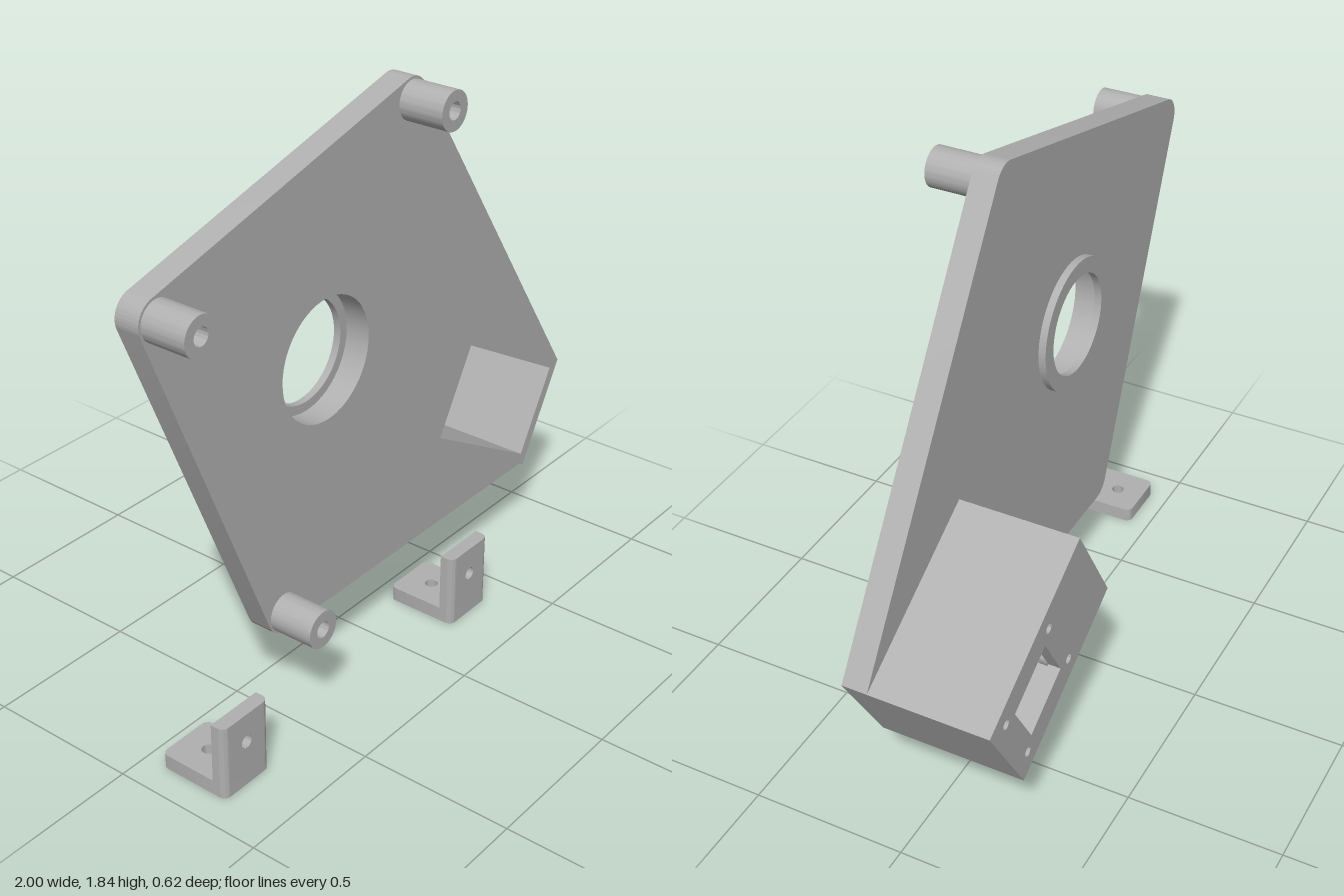
import * as THREE from 'three';
import { toCreasedNormals } from 'three/addons/utils/BufferGeometryUtils.js';

const grey = new THREE.MeshStandardMaterial({ color: 0xb0b0b0 });
grey.name = 'plain grey';

const V = (x, y) => new THREE.Vector2(x, y);

function circle(x, y, r) {
  return new THREE.Path().absarc(x, y, r, 0, Math.PI * 2, false);
}

function disc(x, y, r, hole) {
  const s = new THREE.Shape().absarc(x, y, r, 0, Math.PI * 2, false);
  if (hole) s.holes.push(circle(x, y, hole));
  return s;
}

// corners of a rectangle centred on (x, y)
function rect(x, y, w, h) {
  return [V(x - w / 2, y - h / 2), V(x + w / 2, y - h / 2), V(x + w / 2, y + h / 2), V(x - w / 2, y + h / 2)];
}

// extrude a shape along z from z0 to z1; upright = true extrudes along y instead
function slab(name, shape, z0, z1, upright = false) {
  let g = new THREE.ExtrudeGeometry(shape, { depth: z1 - z0, bevelEnabled: false, curveSegments: 28 });
  g.translate(0, 0, z0);
  if (upright) g.rotateX(-Math.PI / 2);
  g = toCreasedNormals(g, 0.6);
  const m = new THREE.Mesh(g, grey);
  m.name = name;
  return m;
}

// depths
const FRONT = 0.162, BACK = 0.08, BOX_BACK = -0.308, POST = 0.31;
// motor box, tilted in the plate's plane
const BOX = { x: 0.631, y: 0.585, w: 0.623, h: 0.379, iw: 0.553, ih: 0.31, tilt: -Math.PI / 6 };
const toPlate = p => p.clone().rotateAround(V(0, 0), BOX.tilt).add(V(BOX.x, BOX.y));
const RING = { x: -0.257, y: 1.1 };
const POSTS = [[0.131, 1.772], [-0.932, 1.487], [-0.46, 0.345]];

function makePlate() {
  const rad = Math.PI / 180, r = 0.069;
  const outer = rect(0, 0, BOX.w, BOX.h).map(toPlate);
  const s = new THREE.Shape();
  s.moveTo(outer[1].x, outer[1].y);
  s.lineTo(outer[2].x, outer[2].y);
  const angles = [33.5, 105, 202.5, 270];
  POSTS.forEach(([x, y], i) => s.absarc(x, y, r, angles[i] * rad, angles[i + 1] * rad, false));
  s.lineTo(0.79, 0.277);
  s.closePath();
  s.holes.push(circle(RING.x, RING.y, 0.195));
  s.holes.push(new THREE.Path(rect(0, 0, BOX.iw, BOX.ih).map(toPlate)));
  return slab('plate', s, BACK, FRONT);
}

function makeBox() {
  const g = new THREE.Group();
  g.name = 'motorBox';
  const floorTop = BOX_BACK + 0.04;
  const walls = new THREE.Shape(rect(0, 0, BOX.w, BOX.h));
  walls.holes.push(new THREE.Path(rect(0, 0, BOX.iw, BOX.ih)));
  g.add(slab('boxWalls', walls, floorTop, BACK));

  // floor with a square window and four screw holes
  const cx = 0.095;
  const floor = new THREE.Shape(rect(0, 0, BOX.w, BOX.h));
  floor.holes.push(new THREE.Path(rect(cx, 0, 0.211, 0.19)));
  for (const p of rect(cx, 0, 0.296, 0.247)) {
    floor.holes.push(circle(p.x, p.y, 0.016));
    g.add(slab('screwBoss', disc(p.x, p.y, 0.04, 0.016), floorTop, floorTop + 0.04));
  }
  g.add(slab('boxFloor', floor, BOX_BACK, floorTop));
  g.position.set(BOX.x, BOX.y, 0);
  g.rotation.z = BOX.tilt;
  return g;
}

function makeBracket(x) {
  const g = new THREE.Group();
  g.name = 'footBracket';
  const h = 0.0965, r = 0.022, z0 = 0.066, z1 = POST, zi = 0.263, t = 0.048, top = 0.245;

  // foot: rounded footprint, drawn in x and -z
  const foot = new THREE.Shape();
  foot.absarc(-h + r, -z1 + r, r, Math.PI, Math.PI * 1.5, false);
  foot.absarc(h - r, -z1 + r, r, Math.PI * 1.5, Math.PI * 2, false);
  foot.absarc(h - r, -z0 - r, r, 0, Math.PI / 2, false);
  foot.absarc(-h + r, -z0 - r, r, Math.PI / 2, Math.PI, false);
  foot.closePath();
  foot.holes.push(circle(0, -0.16, 0.021));
  g.add(slab('foot', foot, 0, t, true));

  // upright: drilled middle with a rounded strip on each side
  const mid = new THREE.Shape(rect(0, (t + top) / 2, 2 * (h - r), top - t));
  mid.holes.push(circle(0, 0.15, 0.021));
  g.add(slab('upright', mid, zi, z1));
  const right = new THREE.Shape();
  right.moveTo(h - r, -z1);
  right.absarc(h - r, -z1 + r, r, -Math.PI / 2, 0, false);
  right.lineTo(h, -zi);
  right.lineTo(h - r, -zi);
  right.closePath();
  const left = new THREE.Shape();
  left.moveTo(-h + r, -zi);
  left.lineTo(-h, -zi);
  left.absarc(-h + r, -z1 + r, r, Math.PI, Math.PI * 1.5, false);
  left.closePath();
  for (const s of [right, left]) g.add(slab('uprightEdge', s, t, top, true));
  g.position.x = x;
  return g;
}

export function createModel() {
  const model = new THREE.Group();
  model.name = 'mountingPlate';
  model.add(makePlate(), makeBox());

  // retaining lip behind the round opening
  model.add(slab('lipRing', disc(RING.x, RING.y, 0.217, 0.165), 0.056, BACK));

  // hollow stand-off posts
  for (const [x, y] of POSTS) model.add(slab('standoff', disc(x, y, 0.061, 0.027), FRONT, POST));

  for (const x of [-0.805, 0.289]) model.add(makeBracket(x));
  return model;
}
